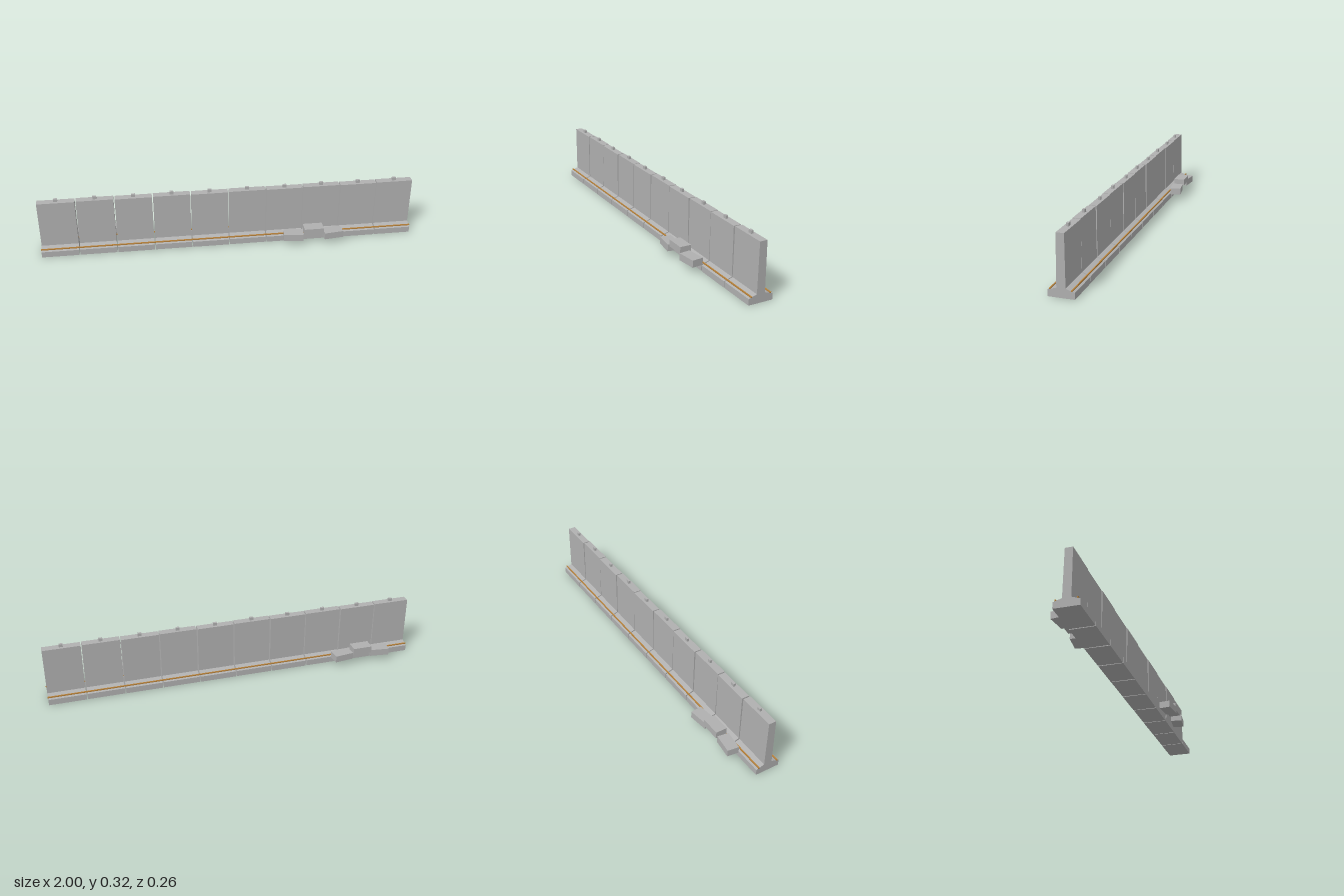
import * as THREE from 'three';

const concrete = new THREE.MeshStandardMaterial({ color: 0xb0b0b0 });
concrete.name = 'concrete grey';
const tan = new THREE.MeshStandardMaterial({ color: 0xb8823a });
tan.name = 'cable tan';

function box(name, material, w, h, d, x, y, z) {
  const mesh = new THREE.Mesh(new THREE.BoxGeometry(w, h, d), material);
  mesh.name = name;
  mesh.position.set(x, y, z);
  return mesh;
}

// Slab with an upright stem on a wide sloped foot, extruded along x
function slabGeometry(width) {
  const half = [[0.064, 0.001], [0.064, 0.033], [0.0215, 0.047], [0.0195, 0.3]];
  const mirrored = half.map(([z, y]) => [-z, y]).reverse();
  const shape = new THREE.Shape([...half, ...mirrored].map(([z, y]) => new THREE.Vector2(z, y)));
  const geometry = new THREE.ExtrudeGeometry(shape, { depth: width, bevelEnabled: false });
  geometry.translate(0, 0, -width / 2);
  geometry.rotateY(-Math.PI / 2);
  return geometry;
}

// Two low blocks turned slightly inward and a third laid across the gap
function blockPile(name, x, z) {
  const pile = new THREE.Group();
  pile.name = name;
  for (const side of [-1, 1]) {
    const block = box('lowerBlock', concrete, 0.104, 0.037, 0.06, side * 0.107, 0.0535, 0.001);
    block.rotation.y = side * 0.12;
    pile.add(block);
  }
  pile.add(box('upperBlock', concrete, 0.104, 0.037, 0.06, 0, 0.0815, 0));
  pile.position.set(x, 0, z);
  return pile;
}

export function createModel() {
  const model = new THREE.Group();
  model.name = 'barrierWall';

  // Row of ten slabs, each with a lifting lug and a slight alternating lean
  const slab = slabGeometry(0.194);
  for (let i = 0; i < 10; i++) {
    const segment = new THREE.Group();
    segment.name = 'wallSegment';
    const wall = new THREE.Mesh(slab, concrete);
    wall.name = 'slab';
    segment.add(wall, box('liftingLug', concrete, 0.02, 0.018, 0.012, 0, 0.307, 0));
    segment.position.x = -0.9 + i * 0.2;
    segment.rotation.x = i % 2 ? -0.005 : 0.005;
    model.add(segment);
  }

  // Cables lying along both slopes of the foot
  for (const side of [-1, 1]) {
    model.add(box('cable', tan, 2, 0.006, 0.006, 0, 0.04, side * 0.051));
  }

  model.add(blockPile('frontBlocks', 0.448, 0.095));
  model.add(blockPile('backBlocks', -0.703, -0.095));
  return model;
}
